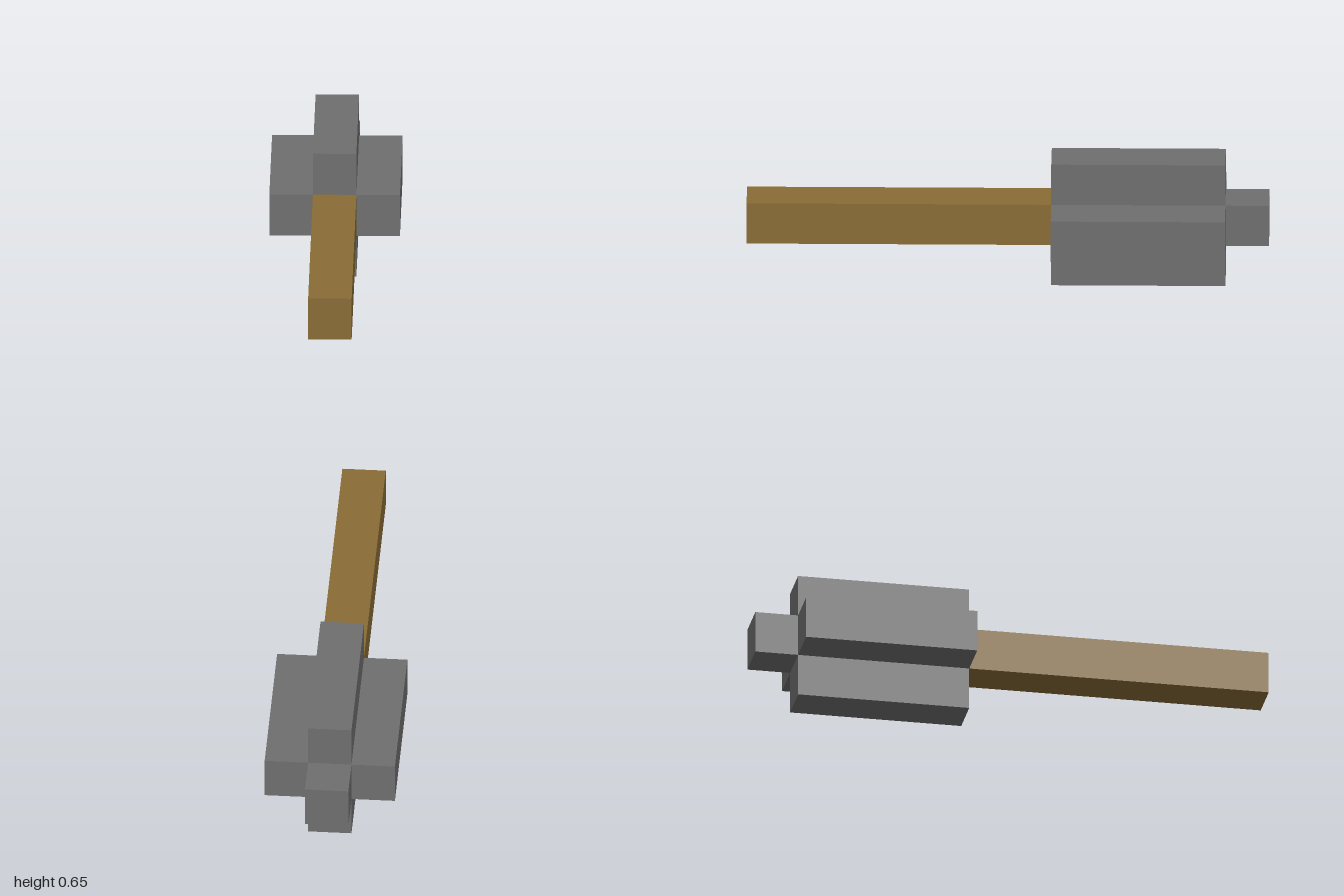
import * as THREE from 'three';

export function createModel() {
  const u = Math.SQRT2 / 6.5; // every part is a whole number of these units
  const wood = new THREE.MeshStandardMaterial({ name: 'wood', color: 0x896c36 });
  const stone = new THREE.MeshStandardMaterial({ name: 'stone', color: 0x6f6f6f });

  // Built along local x, then turned to lie on the diagonal
  const model = new THREE.Group();
  model.name = 'mace';

  const add = (name, geometry, material, x) => {
    const mesh = new THREE.Mesh(geometry, material);
    mesh.name = name;
    mesh.position.set(x * u, 1.5 * u, 0);
    model.add(mesh);
  };

  // Square shaft and the stub at its far end
  add('handle', new THREE.BoxGeometry(7 * u, u, u), wood, -2.5);
  add('tip', new THREE.BoxGeometry(u, u, u), stone, 5.5);

  // Head with a plus-shaped section: four flanges around the core
  const a = u / 2, b = 1.5 * u;
  const section = new THREE.Shape([
    [a, a], [a, b], [-a, b], [-a, a], [-b, a], [-b, -a],
    [-a, -a], [-a, -b], [a, -b], [a, -a], [b, -a], [b, a],
  ].map(([x, y]) => new THREE.Vector2(x, y)));
  const head = new THREE.ExtrudeGeometry(section, { depth: 4 * u, bevelEnabled: false });
  head.rotateY(Math.PI / 2);
  add('head', head, stone, 1);

  model.rotation.y = Math.PI / 4;
  const group = new THREE.Group();
  group.add(model);
  return group;
}
